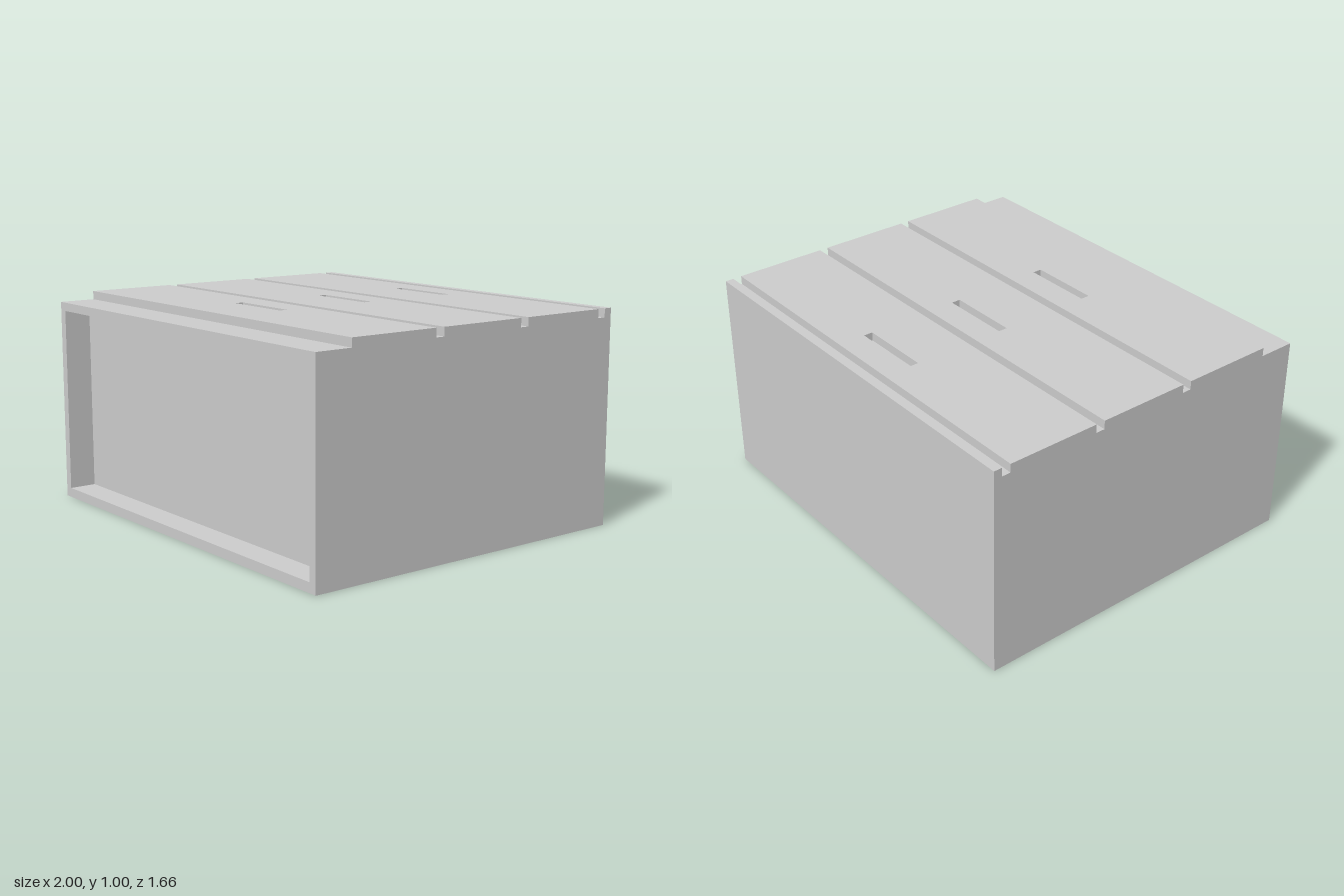
import * as THREE from 'three';

const HALF_W = 1, HALF_D = 0.832, DECK = 0.96, TOP = 1;
const RECESS = 0.13; // depth of the front opening

const material = new THREE.MeshStandardMaterial({ color: 0xcccccc, flatShading: true });

// Clockwise or counter-clockwise order is normalised by ExtrudeGeometry
function rect(Type, x0, y0, x1, y1) {
  return new Type([
    new THREE.Vector2(x0, y0), new THREE.Vector2(x1, y0),
    new THREE.Vector2(x1, y1), new THREE.Vector2(x0, y1),
  ]);
}

function addMesh(group, name, geometry) {
  const mesh = new THREE.Mesh(geometry, material);
  mesh.name = name;
  group.add(mesh);
  return mesh;
}

export function createModel() {
  const group = new THREE.Group();
  group.name = 'crate';

  // Main body behind the front opening
  const bodyDepth = 2 * HALF_D - RECESS;
  addMesh(group, 'body', new THREE.BoxGeometry(2 * HALF_W, DECK, bodyDepth))
    .position.set(0, DECK / 2, -RECESS / 2);

  // Raised rim around the recessed front panel
  const rim = rect(THREE.Shape, -HALF_W, 0, HALF_W, DECK);
  rim.holes.push(rect(THREE.Path, -0.96, 0.045, 0.96, 0.92));
  addMesh(group, 'frontRim', new THREE.ExtrudeGeometry(rim, { depth: RECESS, bevelEnabled: false }))
    .position.z = HALF_D - RECESS;

  // Three top boards, each with a narrow finger slot
  const boardDepth = 0.439, pitch = 0.483;
  for (let i = 0; i < 3; i++) {
    const front = 0.655 - i * pitch;
    const board = rect(THREE.Shape, -HALF_W, 0, HALF_W, boardDepth);
    board.holes.push(rect(THREE.Path, -0.17, 0.267, 0.17, 0.31));
    const mesh = addMesh(group, 'topBoard' + (i + 1),
      new THREE.ExtrudeGeometry(board, { depth: TOP - DECK, bevelEnabled: false }));
    mesh.rotation.x = -Math.PI / 2; // shape y runs toward the back
    mesh.position.set(0, DECK, front);
  }

  // Thin strip along the back edge
  const stripDepth = 0.04;
  addMesh(group, 'backStrip', new THREE.BoxGeometry(2 * HALF_W, TOP - DECK, stripDepth))
    .position.set(0, (TOP + DECK) / 2, -HALF_D + stripDepth / 2);

  return group;
}
